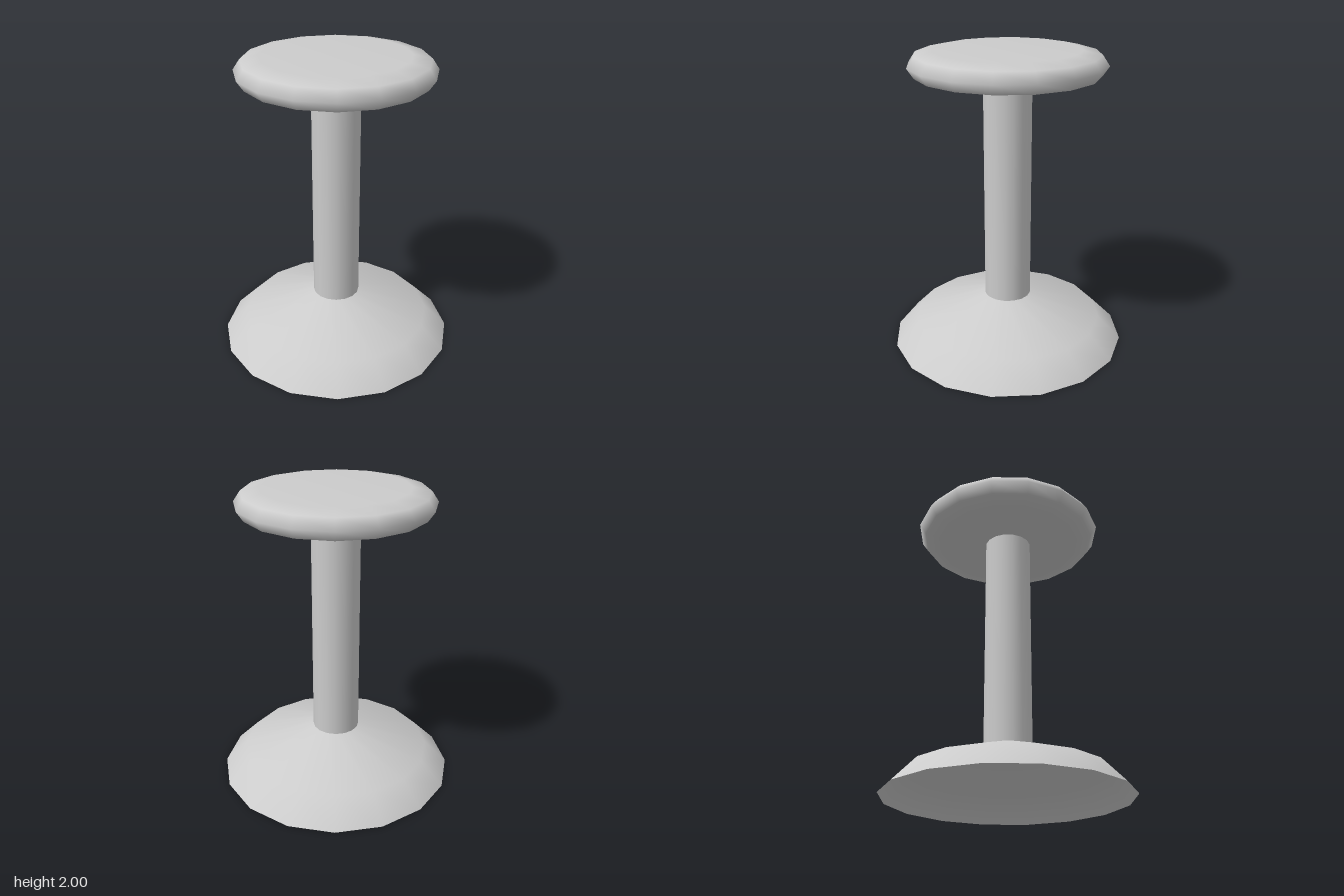
import * as THREE from 'three';

const SIDES = 16;

// Turn a profile of [radius, height] points, listed from bottom to top
function turned(name, profile) {
  const points = profile.map(([r, y]) => new THREE.Vector2(r, y));
  const material = new THREE.MeshStandardMaterial({ color: 0xcccccc, side: THREE.DoubleSide });
  const mesh = new THREE.Mesh(new THREE.LatheGeometry(points, SIDES), material);
  mesh.name = name;
  return mesh;
}

export function createModel() {
  const group = new THREE.Group();
  group.name = 'pedestalStool';

  // Hollow flared foot, open underneath
  group.add(turned('base', [[0.79, 0], [0.635, 0.16], [0.157, 0.32]]));

  // Hollow column, open into the foot
  group.add(turned('post', [[0.157, 0.32], [0.157, 1.815]]));

  // Round cushion with a rounded rim and flat faces
  group.add(turned('seat', [
    [0, 1.815], [0.47, 1.815], [0.588, 1.842], [0.632, 1.907],
    [0.588, 1.973], [0.47, 2], [0, 2],
  ]));

  return group;
}
